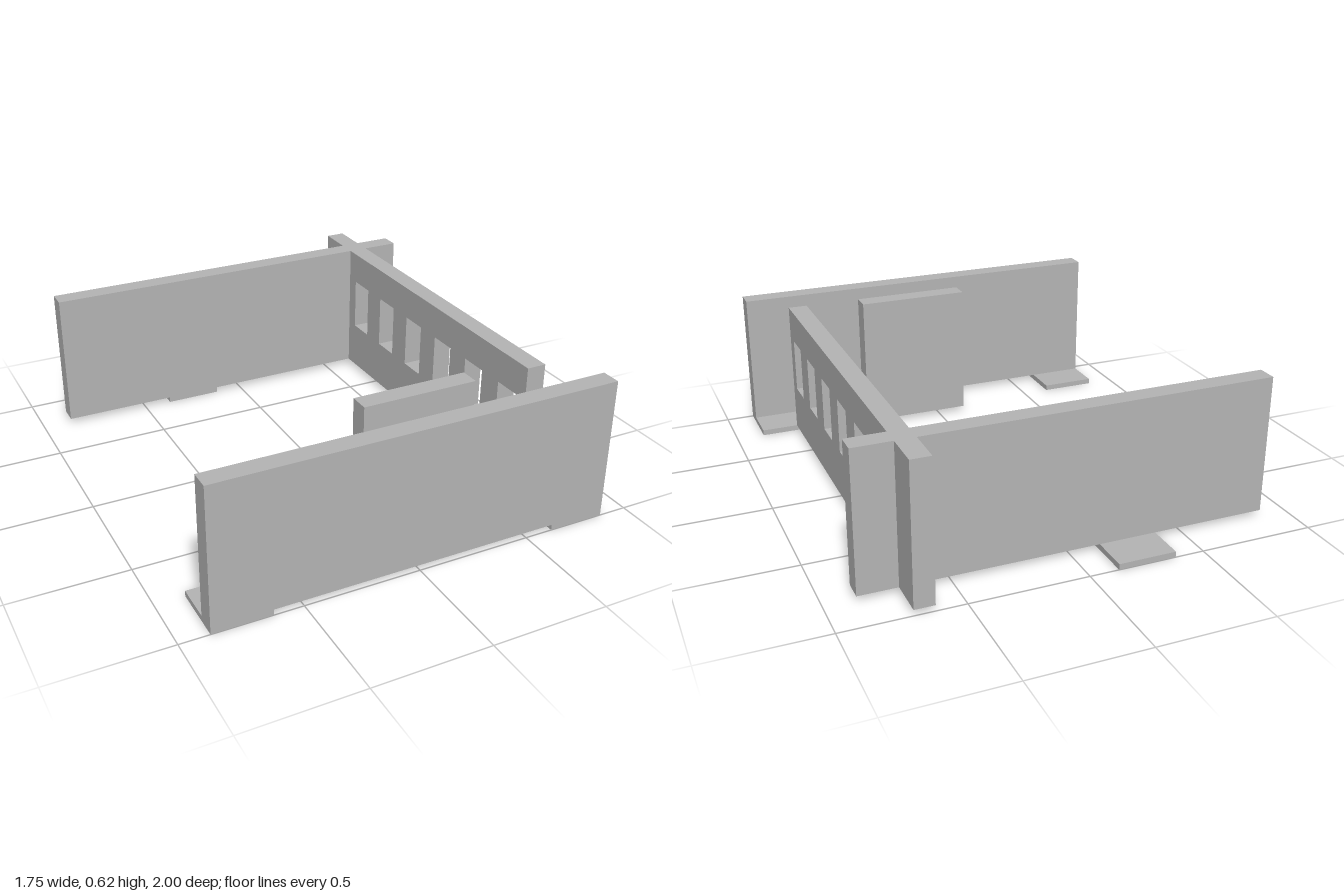
import * as THREE from 'three';

const BASE = 0.025;  // foot thickness, underside of the walls
const TOP = 0.625;   // top of the walls
const THICK = 0.085; // wall thickness

export function createModel() {
  const model = new THREE.Group();
  model.name = 'wallKit';
  const grey = new THREE.MeshStandardMaterial({ color: 0xb4b4b4 });
  grey.name = 'plainGrey';

  // Box given by its limits on each axis
  function block(name, [x0, x1], [y0, y1], [z0, z1]) {
    const mesh = new THREE.Mesh(new THREE.BoxGeometry(x1 - x0, y1 - y0, z1 - z0), grey);
    mesh.position.set((x0 + x1) / 2, (y0 + y1) / 2, (z0 + z1) / 2);
    mesh.name = name;
    model.add(mesh);
  }

  // Upright walls
  block('frontWall', [-0.875, 0.875], [BASE, TOP], [1 - THICK, 1]);
  block('backWall', [-0.875, 0.875], [BASE, TOP], [-0.75 - THICK, -0.75]);
  block('innerPanel', [-0.125, 0.375], [BASE, TOP], [0.75 - THICK, 0.75]);

  // Flat feet
  block('frontLeftFoot', [0.625, 0.875], [0, BASE], [0.75, 1]);
  block('frontRightFoot', [-0.875, -0.625], [0, BASE], [0.75, 1]);
  block('backFoot', [-0.375, -0.125], [0, BASE], [-1, -0.75]);

  // Side wall with a row of six windows, drawn in z and y
  const rect = (path, z0, z1, y0, y1) =>
    path.moveTo(z0, y0).lineTo(z1, y0).lineTo(z1, y1).lineTo(z0, y1).closePath();
  const outline = rect(new THREE.Shape(), -1, 0.75, BASE, TOP);
  for (let i = 0; i < 6; i++) {
    const z = -0.625 + 0.25 * i;
    outline.holes.push(rect(new THREE.Path(), z - 0.065, z + 0.065, 0.24, 0.48));
  }
  const sideWall = new THREE.Mesh(
    new THREE.ExtrudeGeometry(outline, { depth: THICK, bevelEnabled: false }), grey);
  sideWall.rotation.y = -Math.PI / 2;
  sideWall.position.x = 0.625 + THICK;
  sideWall.name = 'windowedSideWall';
  model.add(sideWall);

  return model;
}
